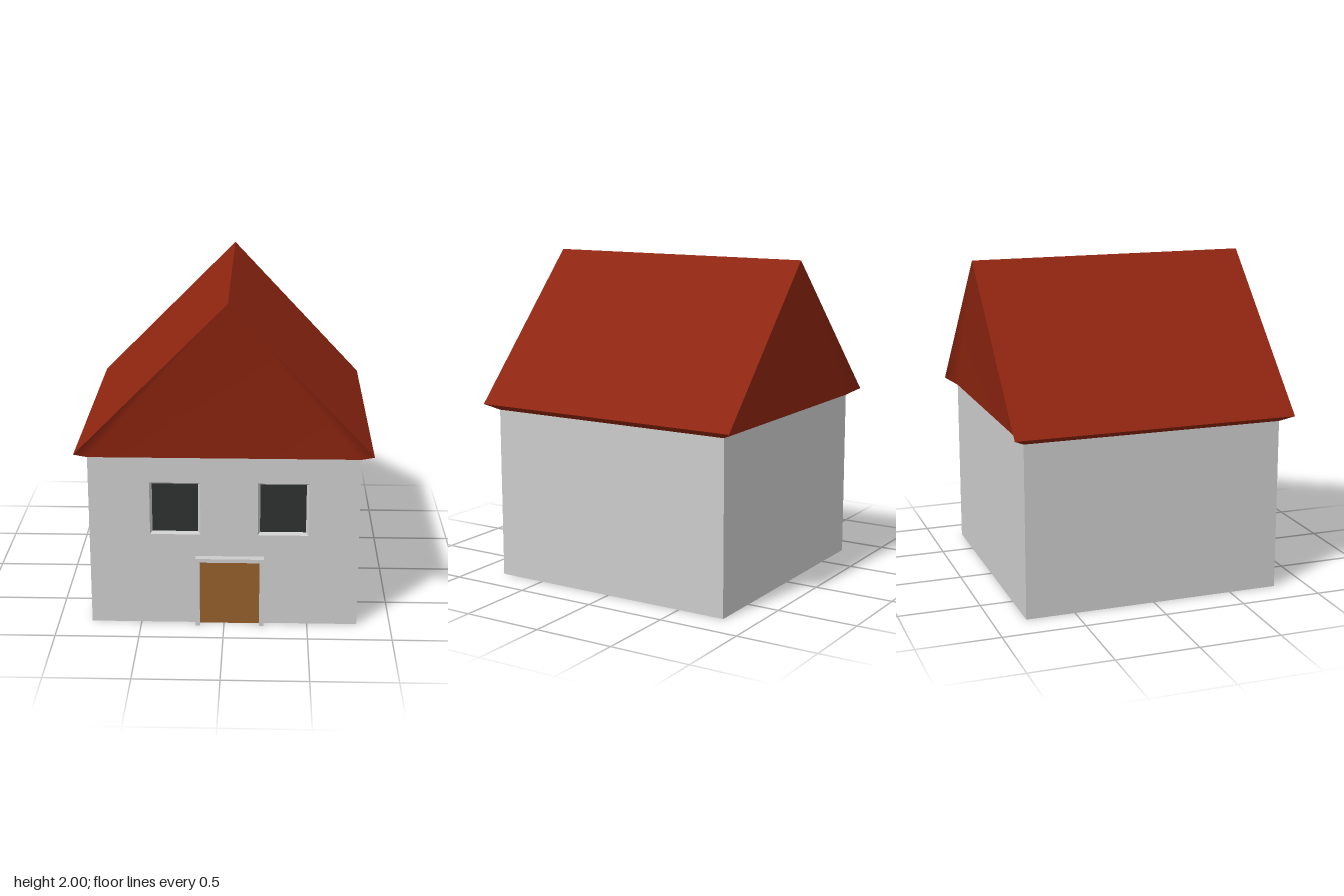
import * as THREE from 'three';
import { mergeGeometries } from 'three/addons/utils/BufferGeometryUtils.js';

const mat = (color) => new THREE.MeshStandardMaterial({ color, roughness: 0.9 });
const grey = mat(0xcccccc), red = mat(0x8e2510), wood = mat(0x945f2a), glass = mat(0x2e3131);

const HALF = 0.8, WALL_TOP = 1.06;              // wall block
const EAVE = 0.87, EAVE_Y = 1.1, RIDGE_X = 0.025, RIDGE_Y = 2;
const RECESS = 0.02, BEVEL = 0.014;             // window reveals

function add(group, name, geometry, material) {
  const mesh = new THREE.Mesh(geometry, material);
  mesh.name = name;
  group.add(mesh);
  return mesh;
}

// Flat polygon (corners counter-clockwise from outside), fanned from its first corner
function polygon(corners) {
  const g = new THREE.BufferGeometry();
  g.setAttribute('position', new THREE.Float32BufferAttribute(corners.flat(), 3));
  const index = [];
  for (let i = 1; i < corners.length - 1; i++) index.push(0, i, i + 1);
  g.setIndex(index);
  g.computeVertexNormals();
  return g;
}

// Corners of a rectangle facing +z
const rect = (x0, x1, y0, y1, z) => [[x0, y0, z], [x1, y0, z], [x1, y1, z], [x0, y1, z]];

function path(corners, Type) {
  return new Type(corners.map(([x, y]) => new THREE.Vector2(x, y)));
}

export function createModel() {
  const house = new THREE.Group();
  house.name = 'house';

  const openings = [-0.29, 0.35].map((x) => rect(x - 0.15, x + 0.15, 0.577, 0.905, HALF));

  // Walls: box without its front, closed by a front sheet with window openings
  const shell = new THREE.BoxGeometry(2 * HALF, WALL_TOP, 2 * HALF).translate(0, WALL_TOP / 2, 0);
  const idx = Array.from(shell.index.array);
  idx.splice(24, 6);
  shell.setIndex(idx);
  const frontShape = path(rect(-HALF, HALF, 0, WALL_TOP, HALF), THREE.Shape);
  frontShape.holes = openings.map((o) => path(o, THREE.Path));
  const front = new THREE.ShapeGeometry(frontShape).translate(0, 0, HALF);
  add(house, 'walls', mergeGeometries([shell, front]), grey);

  // Windows: bevelled reveals leading back to a dark pane
  openings.forEach((outer, n) => {
    const windowGroup = new THREE.Group();
    windowGroup.name = n ? 'leftWindow' : 'rightWindow';
    const [[x0, y0], , [x1, y1]] = outer;
    const inner = rect(x0 + BEVEL, x1 - BEVEL, y0 + BEVEL, y1 - BEVEL, HALF - RECESS);
    const sides = outer.map((c, i) => {
      const j = (i + 1) % 4;
      return polygon([c, outer[j], inner[j], inner[i]]);
    });
    add(windowGroup, 'windowReveal', mergeGeometries(sides), grey);
    add(windowGroup, 'windowPane', polygon(inner), glass);
    house.add(windowGroup);
  });

  // Door with a projecting surround
  const surround = path(
    [[-0.17, 0], [-0.145, 0], [-0.145, 0.415], [0.212, 0.415], [0.212, 0], [0.238, 0], [0.238, 0.438], [-0.17, 0.438]],
    THREE.Shape);
  const frame = new THREE.ExtrudeGeometry(surround, { depth: 0.045, bevelEnabled: false });
  add(house, 'doorFrame', frame.translate(0, 0, HALF), grey);
  add(house, 'door', polygon(rect(-0.145, 0.212, 0, 0.415, HALF + 0.006)), wood);

  // Roof: two slopes, angled eaves, and gables tapering in to the wall tops
  const roof = new THREE.Group();
  roof.name = 'roof';
  for (const s of [1, -1]) {
    const ridge = (z) => [RIDGE_X, RIDGE_Y, z * EAVE];
    const eave = (x, z) => [x * EAVE, EAVE_Y, z * EAVE];
    const top = (x, z) => [x * HALF, WALL_TOP, z * HALF];
    const side = s > 0 ? 'left' : 'right';
    add(roof, side + 'RoofSlope', polygon([ridge(s), eave(s, s), eave(s, -s), ridge(-s)]), red);
    add(roof, side + 'Eave', polygon([eave(s, s), top(s, s), top(s, -s), eave(s, -s)]), red);
    add(roof, s > 0 ? 'frontGable' : 'backGable',
      polygon([ridge(s), eave(-s, s), top(-s, s), top(s, s), eave(s, s)]), red);
  }
  house.add(roof);

  return house;
}
